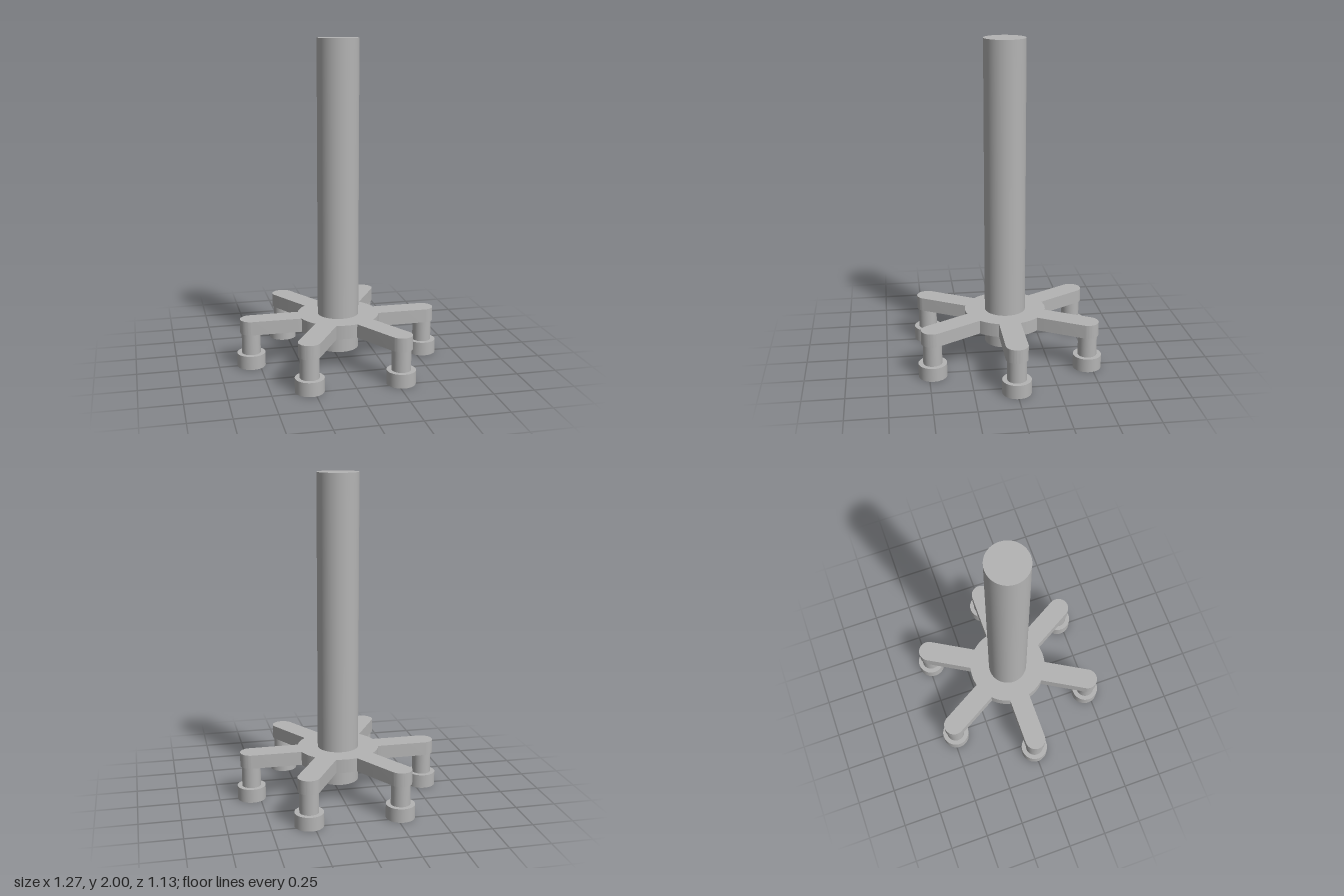
import * as THREE from 'three';
import { toCreasedNormals } from 'three/addons/utils/BufferGeometryUtils.js';

const ARMS = 6, REACH = 0.55, HALF_WIDTH = 0.067, HUB_RADIUS = 0.253;
const PLATE_BOTTOM = 0.215, PLATE_TOP = 0.3, FOOT_TOP = 0.085;

export function createModel() {
  const group = new THREE.Group();
  const steel = new THREE.MeshStandardMaterial({ color: 0xb4b4b4 });
  steel.name = 'grey steel';

  function add(name, geometry, parent = group) {
    const mesh = new THREE.Mesh(geometry, steel);
    mesh.name = name;
    parent.add(mesh);
    return mesh;
  }

  // Upright cylinder between two heights
  const cylinder = (radius, y0, y1, sides = 48) =>
    new THREE.CylinderGeometry(radius, radius, y1 - y0, sides).translate(0, (y0 + y1) / 2, 0);

  // Central column, passing through the plate
  add('column', cylinder(0.127, FOOT_TOP, 2, 64));

  // Star plate: round hub with round-ended arms in one outline
  const outline = new THREE.Shape();
  const step = (Math.PI * 2) / ARMS;
  const rootAngle = Math.asin(HALF_WIDTH / HUB_RADIUS);
  for (let i = 0; i < ARMS; i++) {
    const a = i * step;
    outline.absarc(Math.cos(a) * REACH, Math.sin(a) * REACH, HALF_WIDTH, a - Math.PI / 2, a + Math.PI / 2, false);
    outline.absarc(0, 0, HUB_RADIUS, a + rootAngle, a + step - rootAngle, false);
  }
  const plate = new THREE.ExtrudeGeometry(outline, {
    depth: PLATE_TOP - PLATE_BOTTOM, bevelEnabled: false, curveSegments: 16,
  });
  plate.rotateX(-Math.PI / 2).translate(0, PLATE_BOTTOM, 0);
  add('starBase', toCreasedNormals(plate, 0.5));

  // A stem and round foot under each arm tip
  const stem = cylinder(0.058, FOOT_TOP, PLATE_BOTTOM);
  const foot = cylinder(0.087, 0, FOOT_TOP);
  for (let i = 0; i < ARMS; i++) {
    const leg = new THREE.Group();
    leg.name = `leg${i + 1}`;
    leg.position.set(Math.cos(i * step) * REACH, 0, -Math.sin(i * step) * REACH);
    add('stem', stem, leg);
    add('foot', foot, leg);
    group.add(leg);
  }
  return group;
}
